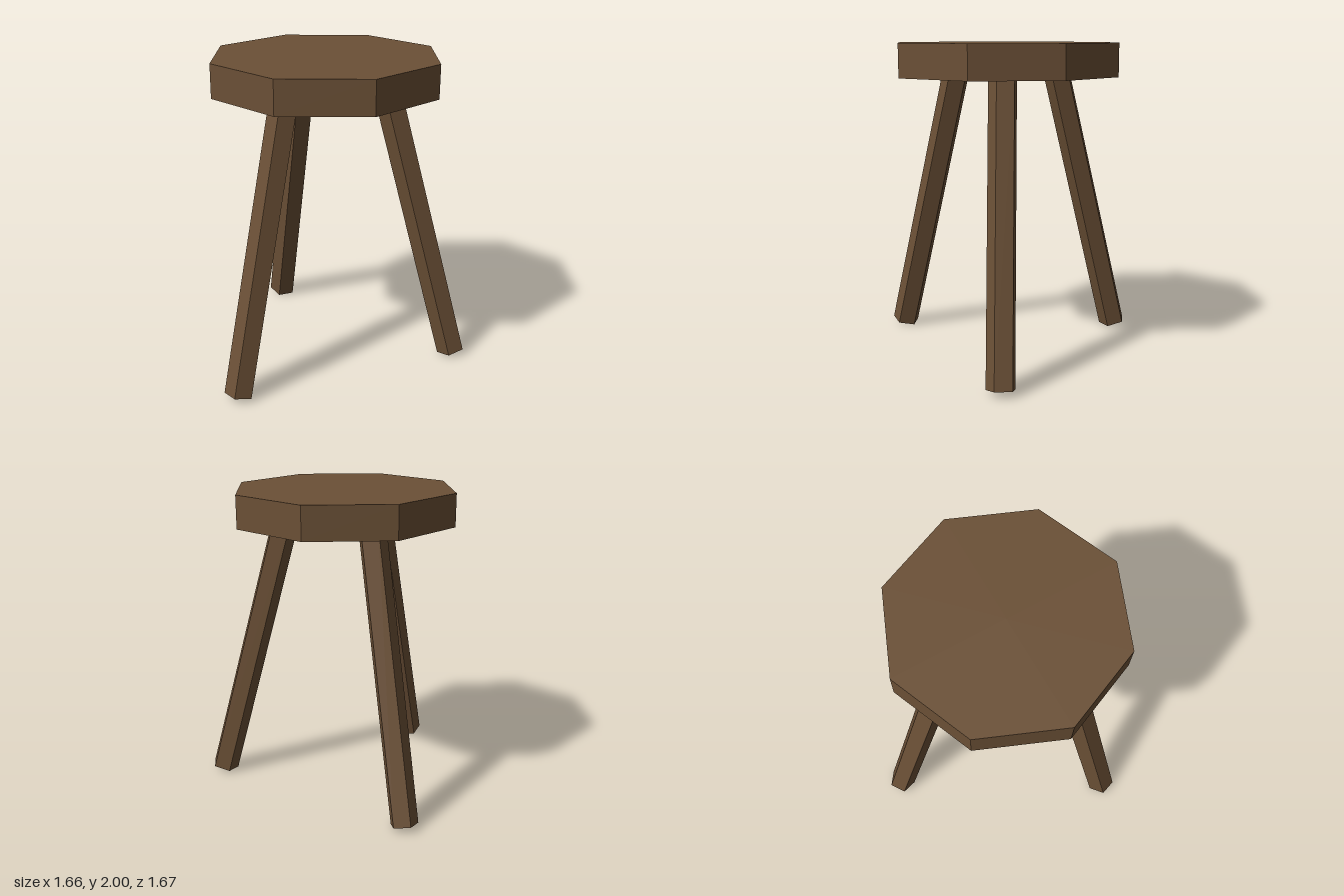
import * as THREE from 'three';

export function createModel() {
  const group = new THREE.Group();
  group.name = 'stool';
  const wood = new THREE.MeshStandardMaterial({ color: 0x6b5036, flatShading: true });
  wood.name = 'brown wood';

  const seatZ = 0.107; // seat centre

  // Octagonal seat slab
  const seat = new THREE.Mesh(new THREE.CylinderGeometry(0.727, 0.727, 0.21, 8), wood);
  seat.name = 'seat';
  seat.position.set(0, 1.895, seatZ);
  group.add(seat);

  // Five-sided legs with their origin at the foot and one edge facing back
  const length = 1.87;
  const legGeometry = new THREE.CylinderGeometry(0.092, 0.092, length, 5);
  legGeometry.rotateY(Math.PI);
  legGeometry.translate(0, length / 2, 0);

  // Three legs splayed outwards by the same angle
  const up = new THREE.Vector3(0, 1, 0);
  const splay = THREE.MathUtils.degToRad(14.9);
  const reach = 0.858;
  ['backLeg', 'frontLeftLeg', 'frontRightLeg'].forEach((name, i) => {
    const angle = Math.PI - (i * Math.PI * 2) / 3;
    const dx = Math.sin(angle), dz = Math.cos(angle);
    const axis = new THREE.Vector3(-dx * Math.sin(splay), Math.cos(splay), -dz * Math.sin(splay));
    const leg = new THREE.Mesh(legGeometry, wood);
    leg.name = name;
    leg.position.set(dx * reach, 0.024, seatZ + dz * reach);
    leg.quaternion.setFromUnitVectors(up, axis);
    group.add(leg);
  });

  return group;
}
